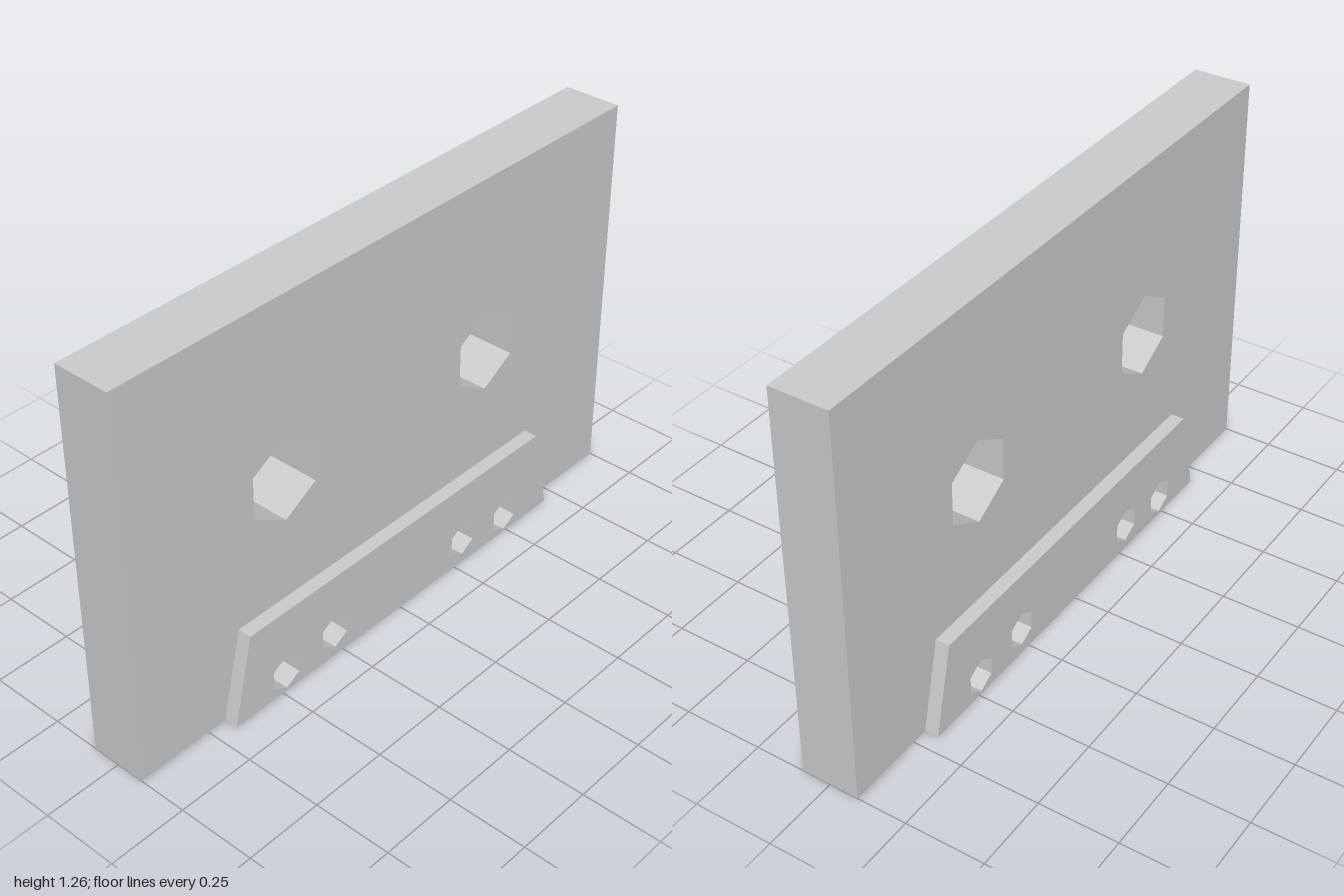
import * as THREE from 'three';

const SLAB_HALF = 0.092;   // half thickness of the main body
const PLATE_HALF = 0.136;  // half thickness across both raised plates

// Point-up hexagonal hole
function hexHole(x, y, r) {
  const points = [];
  for (let i = 0; i < 6; i++) {
    const a = Math.PI / 2 - i * Math.PI / 3;
    points.push(new THREE.Vector2(x + r * Math.cos(a), y + r * Math.sin(a)));
  }
  return new THREE.Path(points);
}

// Outline with holes, extruded from z0 to z1
function panel(name, outline, holes, z0, z1, material) {
  const shape = new THREE.Shape(outline.map(([x, y]) => new THREE.Vector2(x, y)));
  shape.holes = holes.map(([x, y, r]) => hexHole(x, y, r));
  const geometry = new THREE.ExtrudeGeometry(shape, { depth: z1 - z0, bevelEnabled: false });
  geometry.translate(0, 0, z0);
  const mesh = new THREE.Mesh(geometry, material);
  mesh.name = name;
  return mesh;
}

export function createModel() {
  const group = new THREE.Group();
  group.name = 'cassette';
  const material = new THREE.MeshStandardMaterial({ color: 0xcccccc, flatShading: true });

  const reelHoles = [[-0.424, 0.687, 0.136], [0.421, 0.687, 0.136]];
  const guideHoles = [
    [-0.484, 0.068, 0.058], [-0.283, 0.088, 0.058],
    [0.286, 0.088, 0.058], [0.489, 0.066, 0.058],
  ];

  // Main body, pierced by reel and guide holes
  const bodyOutline = [[-1, 0], [1, 0], [1, 1.26], [-1, 1.26]];
  group.add(panel('body', bodyOutline, [...reelHoles, ...guideHoles], -SLAB_HALF, SLAB_HALF, material));

  // Raised trapezoid plates on both faces
  const plateOutline = [[-0.685, 0], [0.697, 0], [0.633, 0.287], [-0.618, 0.287]];
  group.add(panel('frontPlate', plateOutline, guideHoles, SLAB_HALF, PLATE_HALF, material));
  group.add(panel('backPlate', plateOutline, guideHoles, -PLATE_HALF, -SLAB_HALF, material));

  return group;
}
